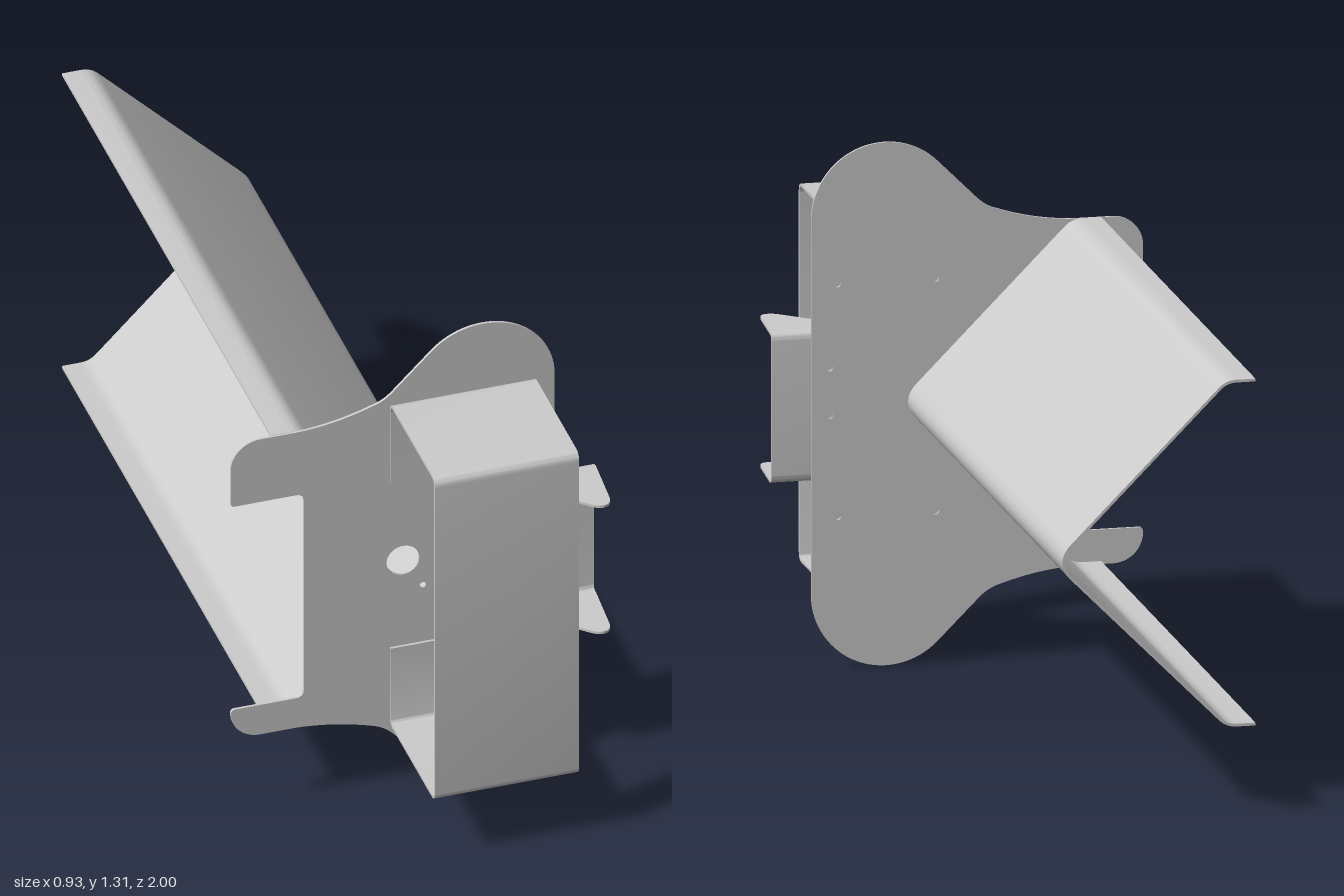
import * as THREE from 'three';
import { toCreasedNormals } from 'three/addons/utils/BufferGeometryUtils.js';

const T = 0.007; // sheet thickness

function extrude(shape, depth) {
  const g = new THREE.ExtrudeGeometry(shape, { depth, bevelEnabled: false, curveSegments: 16 });
  return toCreasedNormals(g, 0.6);
}

// Bent sheet: a centre line with rounded corners, thickened to both sides
function bentSheet(points, radius, depth) {
  const pts = points.map(([x, y]) => new THREE.Vector2(x, y));
  const line = [pts[0]];
  for (let i = 1; i < pts.length - 1; i++) {
    const p = pts[i];
    const a = pts[i - 1].clone().sub(p).normalize();
    const b = pts[i + 1].clone().sub(p).normalize();
    const reach = radius * Math.tan((Math.PI - Math.acos(a.dot(b))) / 2);
    const bend = new THREE.QuadraticBezierCurve(
      p.clone().addScaledVector(a, reach), p, p.clone().addScaledVector(b, reach));
    line.push(...bend.getPoints(8));
  }
  line.push(pts[pts.length - 1]);
  const side = (s) => line.map((p, i) => {
    const t = line[Math.min(i + 1, line.length - 1)].clone().sub(line[Math.max(i - 1, 0)]).normalize();
    return new THREE.Vector2(p.x - t.y * s, p.y + t.x * s);
  });
  return extrude(new THREE.Shape([...side(T / 2), ...side(-T / 2).reverse()]), depth);
}

function plateShape() {
  const s = new THREE.Shape();
  s.moveTo(0.365, 0.185);
  s.lineTo(0.365, 1.13);
  s.absarc(0.18, 1.13, 0.185, 0, Math.PI * 0.75, false);
  s.lineTo(-0.045, 1.167);
  s.quadraticCurveTo(-0.07, 1.14, -0.1, 1.132);
  s.quadraticCurveTo(-0.2, 1.097, -0.3, 1.095);
  // upper arm
  s.lineTo(-0.39, 1.095);
  s.absarc(-0.39, 1.02, 0.075, Math.PI / 2, Math.PI, false);
  s.lineTo(-0.465, 0.92);
  s.quadraticCurveTo(-0.465, 0.91, -0.455, 0.91);
  s.lineTo(-0.3, 0.91);
  s.quadraticCurveTo(-0.278, 0.91, -0.278, 0.888);
  // lower arm
  s.lineTo(-0.278, 0.332);
  s.quadraticCurveTo(-0.278, 0.31, -0.3, 0.31);
  s.lineTo(-0.455, 0.31);
  s.quadraticCurveTo(-0.465, 0.31, -0.465, 0.298);
  s.absarc(-0.39, 0.298, 0.075, Math.PI, Math.PI * 1.5, false);
  s.lineTo(-0.3, 0.223);
  s.quadraticCurveTo(-0.2, 0.219, -0.1, 0.186);
  s.quadraticCurveTo(-0.07, 0.176, -0.045, 0.148);
  s.absarc(0.18, 0.185, 0.185, Math.PI * 1.25, Math.PI * 2, false);
  // one large cable hole and small fixing holes
  const holes = [[-0.024, 0.66, 0.042], [0.3, 0.965, 0.008], [0.054, 0.965, 0.008], [0.3, 0.38, 0.008],
    [0.054, 0.38, 0.008], [0.32, 0.755, 0.008], [0.32, 0.635, 0.008], [0.027, 0.576, 0.008]];
  for (const [x, y, r] of holes) {
    const h = new THREE.Path();
    h.absarc(x, y, r, 0, Math.PI * 2, true);
    s.holes.push(h);
  }
  return s;
}

export function createModel() {
  const model = new THREE.Group();
  const material = new THREE.MeshStandardMaterial({ color: 0xcccccc, side: THREE.DoubleSide });
  const add = (name, geometry, parent = model) => {
    const mesh = new THREE.Mesh(geometry, material);
    mesh.name = name;
    parent.add(mesh);
    return mesh;
  };

  // Mounting plate
  add('mountingPlate', extrude(plateShape(), T)).position.z = 0.639;

  // Long V channel with flat lips, behind the plate
  add('channel', bentSheet([[-0.36, 1.092], [-0.288, 1.092], [0.141, 0.66], [-0.288, 0.227], [-0.36, 0.227]],
    0.06, 1.639)).position.z = -1;

  // Box bracket, open at both sides, with return lips on the plate
  const box = add('boxBracket', bentSheet([[0.65, 0.9], [0.65, 1.131], [0.997, 1.131], [0.997, 0.187],
    [0.65, 0.187], [0.65, 0.41]], 0.022, 0.37));
  box.rotation.y = -Math.PI / 2;
  box.position.x = 0.312;

  // Side bracket: folded back with two hooked flanges
  const side = new THREE.Group();
  side.name = 'sideBracket';
  model.add(side);
  const back = add('sideBracketBack', bentSheet([[0.675, 0.846], [0.65, 0.846], [0.65, 0.473], [0.675, 0.473]],
    0.018, 0.315), side);
  back.rotation.y = -Math.PI / 2;
  back.position.x = 0.463;

  const f = new THREE.Shape();
  f.moveTo(0.463, 0.672);
  f.lineTo(0.453, 0.805);
  f.quadraticCurveTo(0.45, 0.836, 0.428, 0.836);
  f.quadraticCurveTo(0.415, 0.836, 0.402, 0.824);
  f.lineTo(0.31, 0.738);
  f.quadraticCurveTo(0.3, 0.728, 0.285, 0.728);
  f.lineTo(0.215, 0.728);
  f.quadraticCurveTo(0.2, 0.728, 0.19, 0.715);
  f.lineTo(0.15, 0.672);
  for (const [name, y] of [['upperFlange', 0.846], ['lowerFlange', 0.473]]) {
    const flange = add(name, extrude(f, T), side);
    flange.rotation.x = Math.PI / 2;
    flange.position.y = y + T / 2;
  }
  return model;
}
